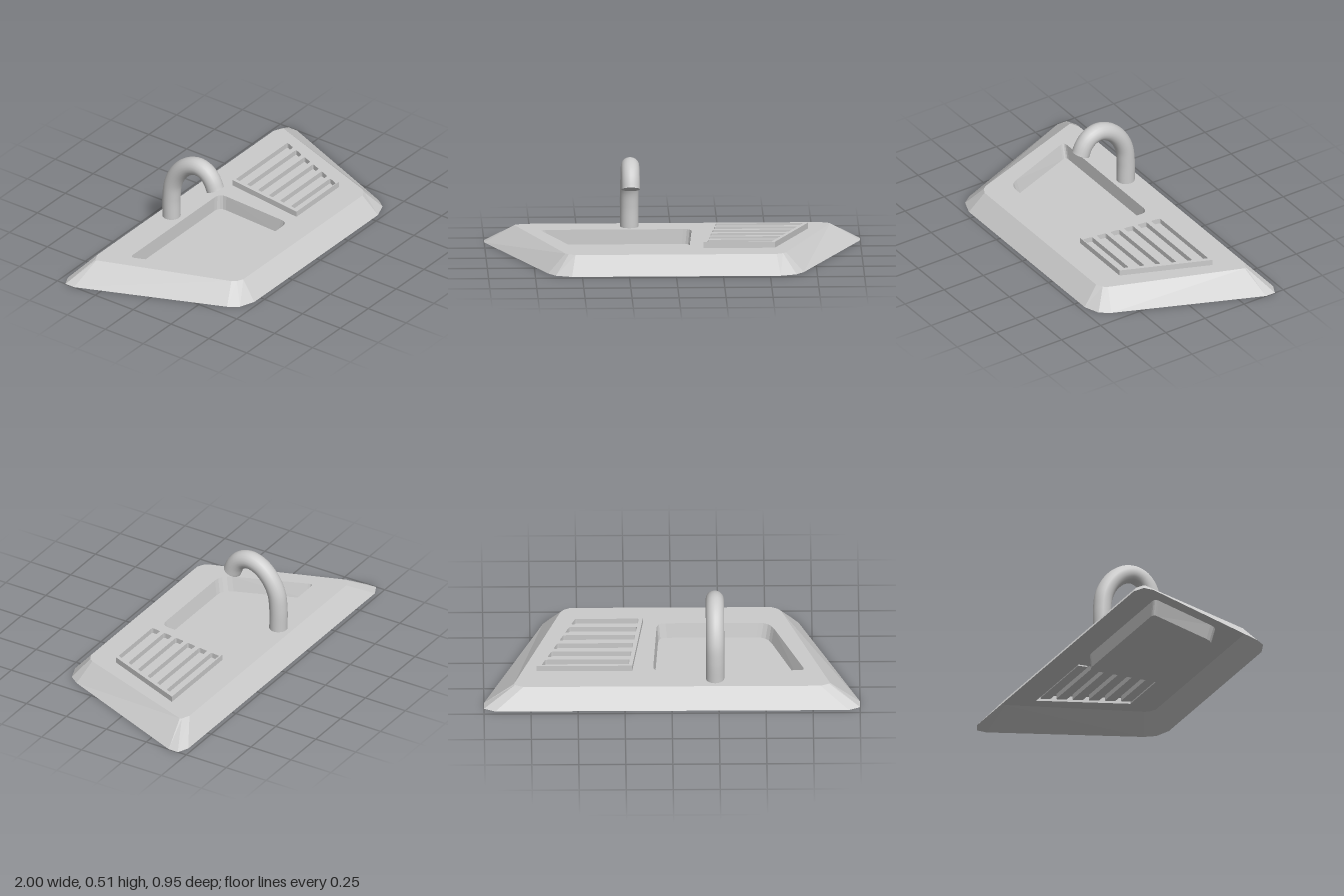
import * as THREE from 'three';

const flat = new THREE.MeshStandardMaterial({ color: 0xcccccc, flatShading: true, side: THREE.DoubleSide });
const smooth = new THREE.MeshStandardMaterial({ color: 0xcccccc, side: THREE.DoubleSide });

const TOP = 0.1, GRILLE_TOP = 0.132;

// Loops are lists of [x, z] points
const toPoints = (loop) => loop.map(([x, z]) => new THREE.Vector2(x, -z));

// Mirrors a right-hand half outline (back to front) into a closed loop
const mirrored = (half) => [...half, ...half.map(([x, z]) => [-x, z]).reverse()];

// Rounds each corner [x, z, radius] of a polygon
function rounded(corners, steps = 4) {
  const loop = [];
  corners.forEach(([x, z, r], i) => {
    const c = new THREE.Vector2(x, z);
    const reach = (n) => {
      const q = corners[(i + n + corners.length) % corners.length];
      return new THREE.Vector2(q[0], q[1]).sub(c).setLength(r).add(c);
    };
    const arc = new THREE.QuadraticBezierCurve(reach(-1), c, reach(1));
    arc.getPoints(steps).forEach((p) => loop.push([p.x, p.y]));
  });
  return loop;
}

// Horizontal sheet with optional holes
function sheet(name, loop, y, holes = []) {
  const shape = new THREE.Shape(toPoints(loop));
  shape.holes = holes.map((h) => new THREE.Path(toPoints(h)));
  const geometry = new THREE.ShapeGeometry(shape).rotateX(-Math.PI / 2).translate(0, y, 0);
  const mesh = new THREE.Mesh(geometry, flat);
  mesh.name = name;
  return mesh;
}

// Wall band joining a lower and an upper loop
function wall(name, lower, y0, upper, y1) {
  const positions = [];
  lower.forEach((a, i) => {
    const j = (i + 1) % lower.length;
    const b = lower[j], c = upper[j], d = upper[i];
    positions.push(a[0], y0, a[1], d[0], y1, d[1], b[0], y0, b[1]);
    positions.push(b[0], y0, b[1], d[0], y1, d[1], c[0], y1, c[1]);
  });
  const geometry = new THREE.BufferGeometry();
  geometry.setAttribute('position', new THREE.Float32BufferAttribute(positions, 3));
  geometry.computeVertexNormals();
  const mesh = new THREE.Mesh(geometry, flat);
  mesh.name = name;
  return mesh;
}

function createFaucet() {
  const faucet = new THREE.Group();
  faucet.name = 'faucet';
  const path = new THREE.CatmullRomCurve3([
    [0.1, -0.313], [0.22, -0.313], [0.31, -0.301], [0.39, -0.26], [0.445, -0.2],
    [0.465, -0.135], [0.448, -0.08], [0.41, -0.045], [0.365, -0.025],
  ].map(([y, z]) => new THREE.Vector3(-0.23, y, z)));
  const pipe = new THREE.Mesh(new THREE.TubeGeometry(path, 32, 0.049, 20), smooth);
  pipe.name = 'faucetPipe';
  const cap = new THREE.Mesh(new THREE.CircleGeometry(0.049, 20), flat);
  cap.name = 'spoutEnd';
  cap.position.copy(path.getPoint(1));
  cap.lookAt(path.getPoint(1).add(path.getTangent(1)));
  faucet.add(pipe, cap);
  return faucet;
}

function createGrille(outline) {
  const grille = new THREE.Group();
  grille.name = 'drainingGrille';
  // Left and right edges of the tapered outline at depth z
  const leftAt = (z) => THREE.MathUtils.mapLinear(z, -0.235, 0.232, 0.21, 0.15);
  const rightAt = (z) => THREE.MathUtils.mapLinear(z, -0.235, 0.232, 0.718, 0.53);
  const slots = [];
  for (let i = 0; i < 6; i++) {
    const z0 = -0.226 + i * 0.08, z1 = z0 + 0.053;
    slots.push(rounded([
      [leftAt(z0) + 0.02, z0, 0.008], [rightAt(z0) - 0.022, z0, 0.008],
      [rightAt(z1) - 0.022, z1, 0.008], [leftAt(z1) + 0.02, z1, 0.008],
    ], 2));
  }
  grille.add(wall('grilleSides', outline, TOP, outline, GRILLE_TOP));
  grille.add(sheet('grilleTop', outline, GRILLE_TOP, slots));
  slots.forEach((slot) => {
    grille.add(wall('slotWalls', slot, TOP + 0.003, slot, GRILLE_TOP));
    grille.add(sheet('slotFloor', slot, TOP + 0.003));
  });
  return grille;
}

export function createModel() {
  const model = new THREE.Group();
  model.name = 'sink';

  // Chamfered trapezoid outlines of the counter
  const foot = mirrored([[0.94, -0.475], [1, -0.447], [1, -0.39], [0.68, 0.385], [0.64, 0.44], [0.555, 0.472]]);
  const rim = mirrored([[0.79, -0.39], [0.835, -0.37], [0.84, -0.36], [0.587, 0.345], [0.57, 0.367], [0.535, 0.385]]);

  // Basin outlines, slightly tapered towards the floor
  const basinRim = rounded([[-0.71, -0.237, 0.03], [0.1, -0.237, 0.045], [0.075, 0.23, 0.045], [-0.525, 0.23, 0.06]]);
  const basinBase = rounded([[-0.685, -0.234, 0.03], [0.092, -0.234, 0.045], [0.067, 0.212, 0.045], [-0.512, 0.212, 0.06]]);
  const grilleOutline = [[0.21, -0.235], [0.718, -0.235], [0.53, 0.232], [0.15, 0.232]];

  model.add(wall('skirt', foot, 0, rim, TOP));
  model.add(sheet('counterTop', rim, TOP, [basinRim, grilleOutline]));

  const basin = new THREE.Group();
  basin.name = 'basin';
  basin.add(wall('basinWalls', basinBase, 0.02, basinRim, TOP), sheet('basinFloor', basinBase, 0.02));
  model.add(basin, createGrille(grilleOutline), createFaucet());
  return model;
}
